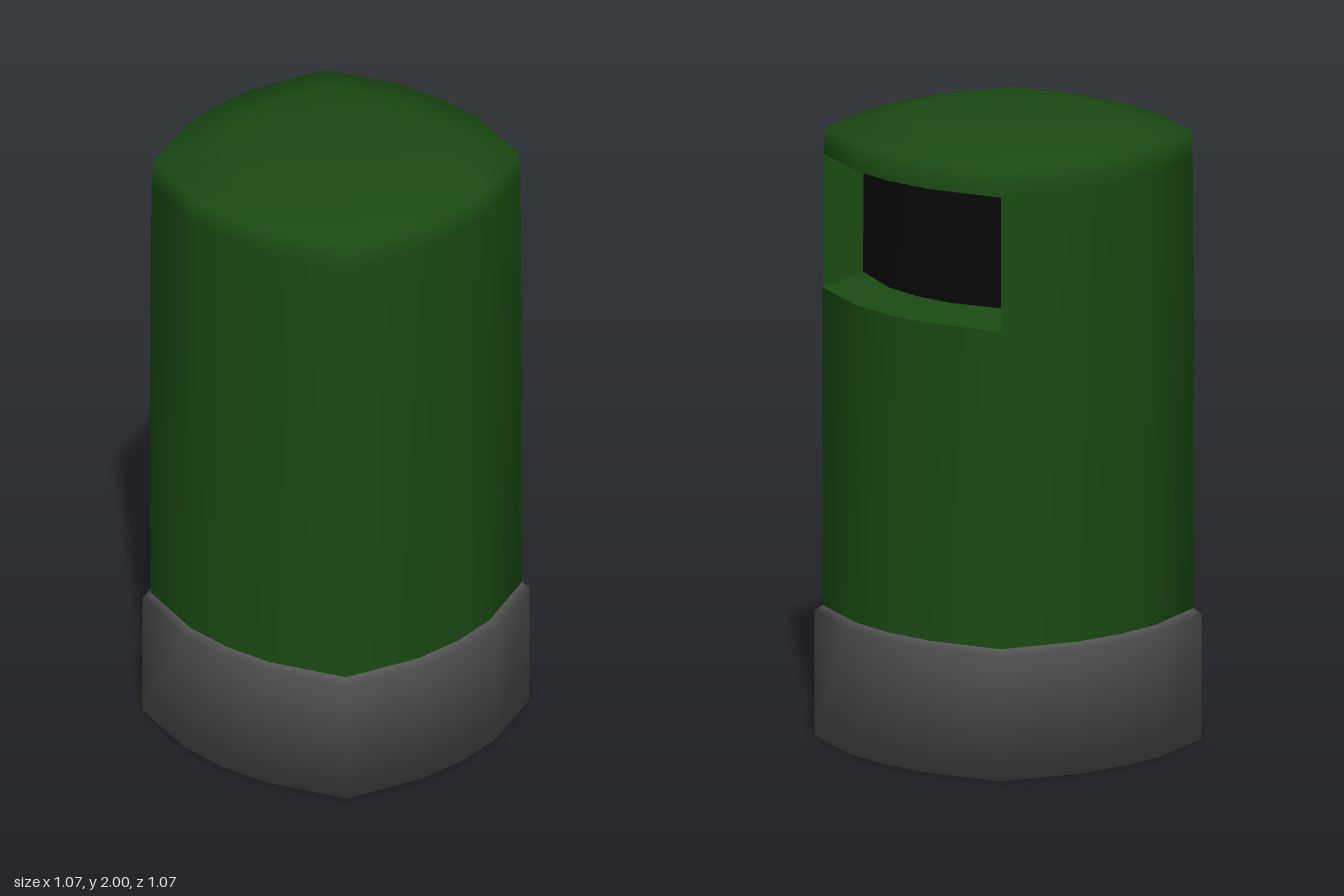
import * as THREE from 'three';
import { toCreasedNormals } from 'three/addons/utils/BufferGeometryUtils.js';

// One quarter of the rounded-square plan (x, z), repeated by quarter turns
const QUARTER = [[0, 1], [0.32, 0.97], [0.8, 0.8], [0.97, 0.32]];
const SIDES = 16;
const BACK_START = 6, BACK_END = 10; // plan corners either side of the back

const GREEN = 0x1a4a12, GREY = 0x555555, BLACK = 0x080808;

// Horizontal ring of the plan with half-width r at height y
function ring(r, y) {
  const points = [];
  for (let q = 0; q < 4; q++) {
    for (const [px, pz] of QUARTER) {
      let x = px, z = pz;
      for (let k = 0; k < q; k++) [x, z] = [z, -x];
      points.push(new THREE.Vector3(x * r, y, z * r));
    }
  }
  return points;
}

// Skin between successive rings; skip(row, column) leaves a cell open
function loft(rings, closed = true, skip = () => false) {
  const n = rings[0].length;
  const index = [];
  for (let j = 0; j < rings.length - 1; j++) {
    for (let i = 0; i < (closed ? n : n - 1); i++) {
      if (skip(j, i)) continue;
      const k = (i + 1) % n;
      const a = j * n + i, b = j * n + k, c = b + n, d = a + n;
      index.push(a, b, c, a, c, d);
    }
  }
  const geometry = new THREE.BufferGeometry().setFromPoints(rings.flat());
  geometry.setIndex(index);
  geometry.computeVertexNormals();
  return geometry;
}

function part(name, geometry, color) {
  const mesh = new THREE.Mesh(geometry, new THREE.MeshStandardMaterial({ color }));
  mesh.name = name;
  return mesh;
}

export function createModel() {
  const group = new THREE.Group();
  group.name = 'litterBin';

  // Grey plinth with a closed bottom and a small chamfer at the top
  const base = [[0, 0], [0.536, 0], [0.536, 0.4], [0.512, 0.42]];
  group.add(part('base', loft(base.map(([r, y]) => ring(r, y))), GREY));

  // Green body with a shallow domed lid, open at the slot in the back
  const slotLow = 1.44, slotHigh = 1.87;
  const profile = [[0.513, 0.4], [0.513, slotLow], [0.511, slotHigh], [0.506, 1.955], [0.33, 2], [0, 2]];
  const bodyRings = profile.map(([r, y]) => ring(r, y));
  const isSlot = (row, column) => row === 1 && column >= BACK_START && column < BACK_END;
  group.add(part('body', loft(bodyRings, true, isSlot), GREEN));

  // Slot edges, and the same edges pushed inwards and narrowed
  const edge = (r) => r.slice(BACK_START, BACK_END + 1);
  const inset = (points, y) => points.map((p) => new THREE.Vector3(p.x * 0.87, y, p.z + 0.123));
  const outerLow = edge(bodyRings[1]), outerHigh = edge(bodyRings[2]);
  const innerLow = inset(outerLow, 1.48), innerHigh = inset(outerHigh, 1.84);

  // Sloping lips and side walls around the slot
  const outerLoop = [...outerLow, ...[...outerHigh].reverse()];
  const innerLoop = [...innerLow, ...[...innerHigh].reverse()];
  group.add(part('slotSurround', toCreasedNormals(loft([outerLoop, innerLoop]), 0.9), GREEN));

  // Dark curved panel at the back of the slot
  group.add(part('slotPanel', loft([innerLow, innerHigh], false), BLACK));

  return group;
}
